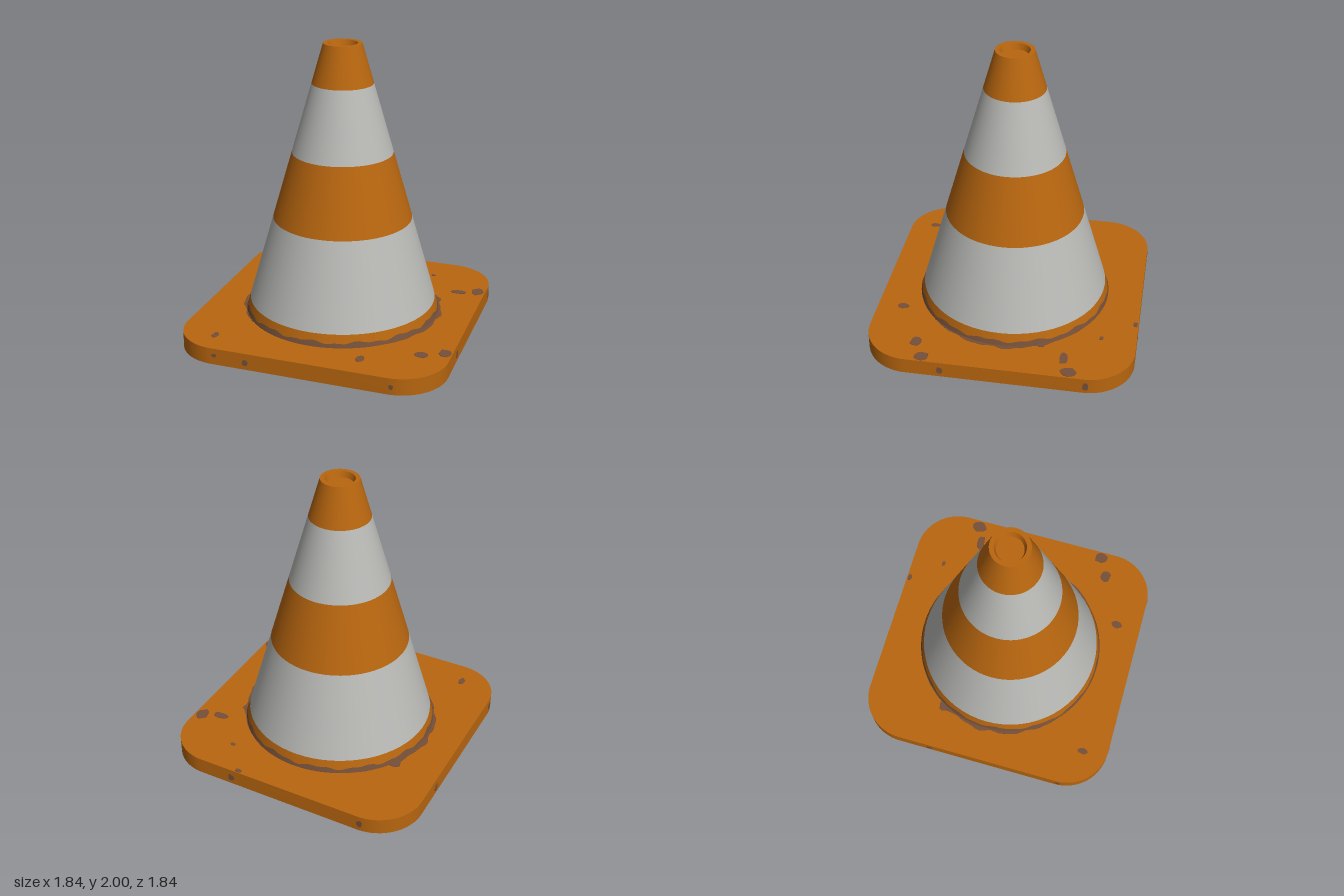
import * as THREE from 'three';
import { toCreasedNormals } from 'three/addons/utils/BufferGeometryUtils.js';

const mat = (name, color) => Object.assign(new THREE.MeshStandardMaterial({ color }), { name });

const HALF = 0.92, CORNER = 0.32, BASE_TOP = 0.115, RECESS = 0.09;
const BOTTOM_R = 0.675, TOP_R = 0.13;
const coneRadius = (y) => BOTTOM_R + (TOP_R - BOTTOM_R) * (y - BASE_TOP) / (2 - BASE_TOP);

// Rounded square outline, shrunk by an inset
function roundedSquare(inset, Type = THREE.Shape) {
  const s = new Type(), c = HALF - CORNER, r = CORNER - inset;
  for (let i = 0; i < 4; i++) {
    const a = i * Math.PI / 2;
    const sx = i === 0 || i === 3 ? 1 : -1, sy = i < 2 ? 1 : -1;
    s.absarc(sx * c, sy * c, r, a, a + Math.PI / 2, false);
  }
  s.closePath();
  return s;
}

// Flat shape extruded upwards from height y
function slab(shape, y, depth) {
  const g = new THREE.ExtrudeGeometry(shape, { depth, bevelEnabled: false, curveSegments: 12 });
  g.rotateX(-Math.PI / 2).translate(0, y, 0);
  return toCreasedNormals(g, 0.6);
}

export function createModel() {
  const orange = mat('orange', 0xb8660f);
  const white = mat('white', 0xb9b9b6);
  const dirt = mat('dirt', 0x755039);
  const model = new THREE.Group();
  model.name = 'trafficCone';

  const add = (name, geometry, material, parent = model) => {
    const m = new THREE.Mesh(geometry, material);
    m.name = name;
    parent.add(m);
    return m;
  };

  // Base: hollow rim with a lid
  const rim = roundedSquare(0);
  rim.holes.push(roundedSquare(0.09, THREE.Path));
  add('baseRim', slab(rim, 0, RECESS), orange);
  add('baseLid', slab(roundedSquare(0), RECESS, BASE_TOP - RECESS), orange);

  // Dirty lining of the recess underneath
  const lining = roundedSquare(0.088);
  lining.holes.push(roundedSquare(0.094, THREE.Path));
  add('recessDirt', slab(lining, 0.004, RECESS - 0.004), dirt);

  // Cone bands and the shallow opening, as [name, r0, y0, r1, y1, material]
  const band = (name, y0, y1, m) => [name, coneRadius(y0), y0, coneRadius(y1), y1, m];
  [
    band('bottomBand', BASE_TOP, 0.2, orange),
    band('lowerStripe', 0.2, 0.79, white),
    band('middleBand', 0.79, 1.255, orange),
    band('upperStripe', 1.255, 1.73, white),
    band('topBand', 1.73, 2, orange),
    ['topLip', TOP_R, 2, 0.1, 2, orange],
    ['openingWall', 0.1, 2, 0.087, 1.96, orange],
    ['openingFloor', 0.087, 1.96, 0, 1.96, orange],
  ].forEach(([name, r0, y0, r1, y1, m]) => {
    const profile = [new THREE.Vector2(r0, y0), new THREE.Vector2(r1, y1)];
    add(name, new THREE.LatheGeometry(profile, 64), m);
  });

  // Wavy dirt line around the foot of the cone
  const skirt = new THREE.LatheGeometry(
    [new THREE.Vector2(BOTTOM_R, BASE_TOP), new THREE.Vector2(BOTTOM_R, 0.15)], 128);
  const p = skirt.attributes.position;
  for (let i = 0; i < p.count; i++) {
    const a = Math.atan2(p.getZ(i), p.getX(i));
    let y = p.getY(i);
    if (y > 0.13) y = 0.147 + 0.007 * Math.sin(a * 13) + 0.005 * Math.sin(a * 29 + 1);
    const r = coneRadius(y) + 0.003;
    p.setXYZ(i, r * Math.cos(a), y, r * Math.sin(a));
  }
  skirt.computeVertexNormals();
  add('footDirt', skirt, dirt);

  // Dirt spilling onto the base, mostly at both sides
  const spill = [];
  for (let i = 0; i < 128; i++) {
    const a = i / 128 * Math.PI * 2;
    const side = Math.abs(Math.cos(a)) ** 5;
    const r = 0.676 + side * (0.024 + 0.009 * Math.sin(a * 17) + 0.006 * Math.sin(a * 31));
    spill.push(new THREE.Vector2(r * Math.cos(a), r * Math.sin(a)));
  }
  const spillShape = new THREE.Shape(spill);
  spillShape.holes.push(new THREE.Path().absarc(0, 0, 0.65, 0, Math.PI * 2));
  add('spilledDirt', slab(spillShape, BASE_TOP, 0.002), dirt);

  // Irregular thin patch facing +z
  let seed = 7;
  const random = () => (seed = (seed * 16807) % 2147483647) / 2147483647;
  const patch = (w, h) => {
    const pts = [];
    for (let i = 0; i < 11; i++) {
      const a = i / 11 * Math.PI * 2, k = 0.72 + 0.28 * random();
      pts.push(new THREE.Vector2(w * k * Math.cos(a), h * k * Math.sin(a)));
    }
    return new THREE.ExtrudeGeometry(new THREE.Shape(pts), { depth: 0.003, bevelEnabled: false });
  };

  // Dirt patches on the base top: x, z, half width, half depth
  [
    [0.31, -0.9, 0.03, 0.018], [0.49, -0.68, 0.022, 0.015], [0.74, -0.45, 0.065, 0.032],
    [0.87, -0.5, 0.05, 0.065], [0.87, 0.49, 0.05, 0.055], [0.73, 0.56, 0.055, 0.045],
    [0.37, 0.74, 0.03, 0.048], [-0.65, 0.74, 0.027, 0.045],
    [-0.6, -0.34, 0.05, 0.045], [0.62, -0.28, 0.03, 0.04],
  ].forEach(([x, z, w, d]) => {
    add('topPatch', patch(w, d).rotateX(-Math.PI / 2).translate(x, BASE_TOP, z), dirt);
  });

  // Dirt patches under the base
  [[-0.68, -0.12, 0.04], [-0.42, 0.48, 0.03], [0.36, 0.03, 0.025], [-0.72, -0.72, 0.025],
    [-0.11, -0.76, 0.015]].forEach(([x, z, w]) => {
    add('underPatch', patch(w, w).rotateX(Math.PI / 2).translate(x, RECESS, z), dirt);
  });

  // Patches on the four outer sides, and clean spots on the recess walls
  for (let i = 0; i < 4; i++) {
    const side = new THREE.Group();
    side.name = 'sidePatches';
    side.rotation.y = i * Math.PI / 2;
    model.add(side);
    const spots = i === 0
      ? [[-0.58, 0.065, 0.02, 0.015], [-0.36, 0.05, 0.023, 0.027], [0.63, 0.055, 0.018, 0.022]]
      : [[-0.36, 0.05, 0.026, 0.033], [0.62, 0.055, 0.024, 0.033]];
    spots.forEach(([x, y, w, h]) =>
      add('sidePatch', patch(w, h).translate(x, y, HALF - 0.001), dirt, side));
    [-0.5, -0.12, 0.2, 0.52].forEach((x) =>
      add('recessCleanSpot', patch(0.09, 0.035).rotateY(Math.PI).translate(x, 0.045, 0.827), orange, side));
  }
  return model;
}
